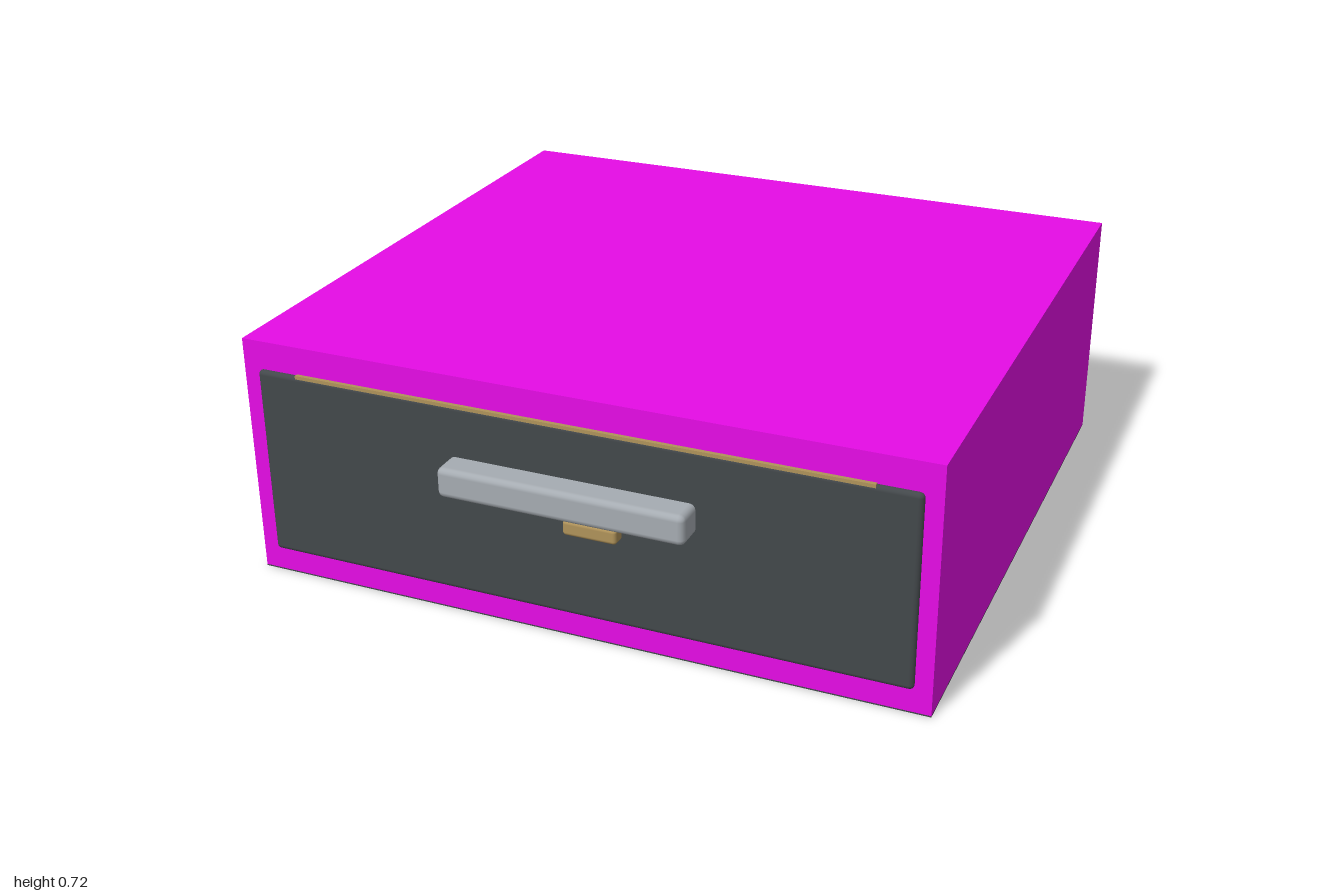
import * as THREE from 'three';
import { RoundedBoxGeometry } from 'three/addons/geometries/RoundedBoxGeometry.js';

const material = (color) => new THREE.MeshStandardMaterial({ color });

export function createModel() {
  const group = new THREE.Group();
  const shell = material(0xe60ce6);
  const charcoal = material(0x43484b);
  const steel = material(0xa6acb2);
  const brass = material(0xb0935a);

  // Box given by its min and max corners; a radius bevels the edges
  function box(name, min, max, mat, radius = 0) {
    const [w, h, d] = max.map((v, i) => v - min[i]);
    const geometry = radius
      ? new RoundedBoxGeometry(w, h, d, 2, radius)
      : new THREE.BoxGeometry(w, h, d);
    const mesh = new THREE.Mesh(geometry, mat);
    mesh.name = name;
    mesh.position.set(...min.map((v, i) => (v + max[i]) / 2));
    group.add(mesh);
  }

  // Cabinet with a dark underside
  box('cabinet', [-1, 0.004, -0.964], [1, 0.72, 0.872], shell);
  box('basePanel', [-1, 0, -0.964], [1, 0.004, 0.872], charcoal);

  // Drawer front with a thin brass strip along its top edge
  box('drawerFront', [-0.952, 0.073, 0.83], [0.952, 0.637, 0.885], charcoal, 0.014);
  box('trimStrip', [-0.83, 0.63, 0.84], [0.83, 0.64, 0.884], brass);

  // Bar handle and the small catch below it
  box('handle', [-0.357, 0.4, 0.865], [0.357, 0.488, 0.964], steel, 0.018);
  box('catch', [-0.006, 0.342, 0.882], [0.15, 0.386, 0.927], brass, 0.01);

  return group;
}
